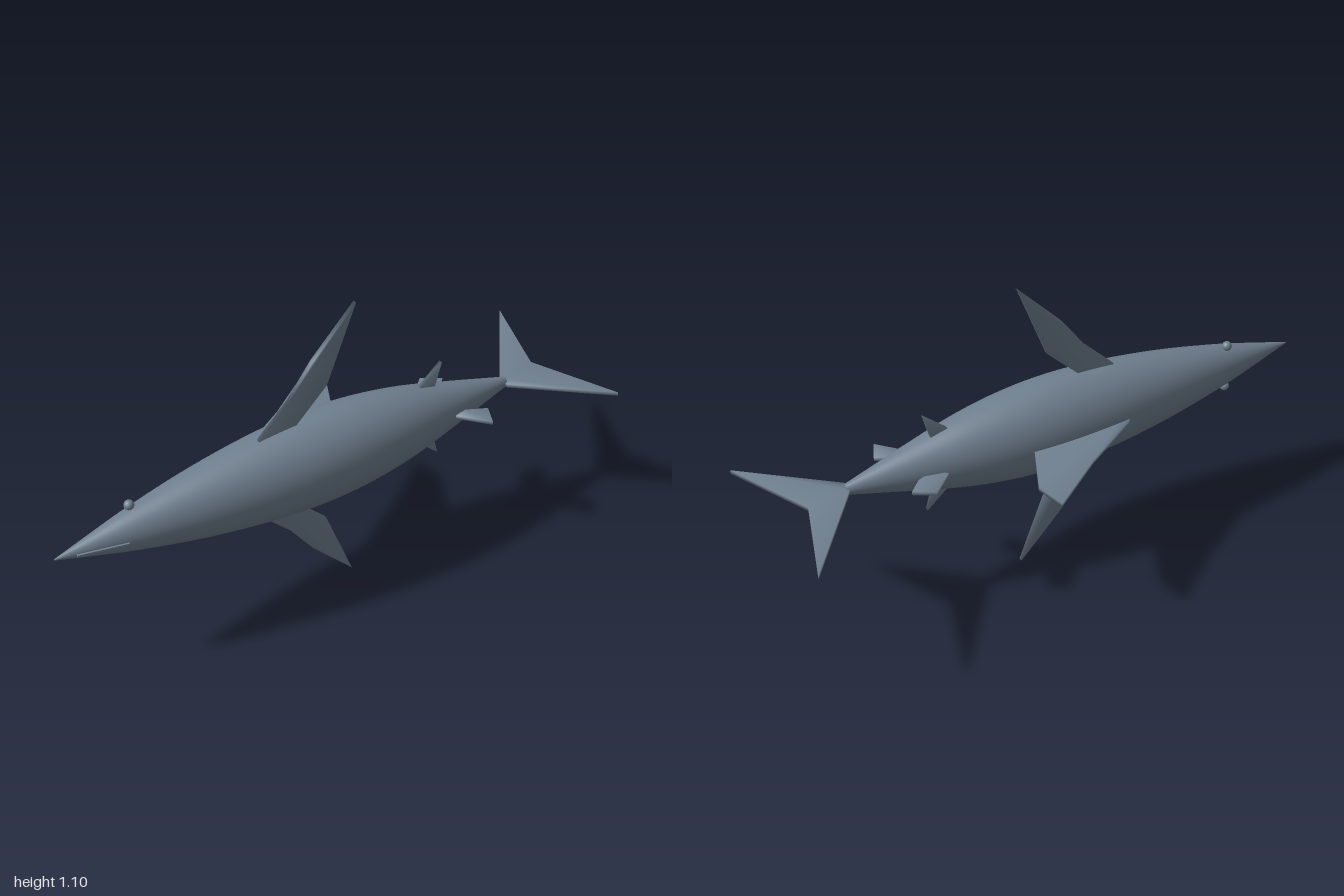
import * as THREE from 'three';
import { mergeVertices } from 'three/addons/utils/BufferGeometryUtils.js';

const AXIS_Y = 0.56, AXIS_Z = 0.07, THICK = 0.014;

// Thin plate from outline points, with softly blended normals
function finGeometry(points) {
  const shape = new THREE.Shape(points.map(([x, y]) => new THREE.Vector2(x, y)));
  const geo = new THREE.ExtrudeGeometry(shape, { depth: THICK, bevelEnabled: false });
  geo.translate(0, 0, -THICK / 2);
  geo.deleteAttribute('normal');
  geo.deleteAttribute('uv');
  const merged = mergeVertices(geo);
  merged.computeVertexNormals();
  return merged;
}

export function createModel() {
  const group = new THREE.Group();
  const skin = new THREE.MeshStandardMaterial({ color: 0x708090 });
  skin.name = 'slate grey skin';

  const add = (name, geo, x = 0, y = 0, z = 0) => {
    const mesh = new THREE.Mesh(geo, skin);
    mesh.name = name;
    mesh.position.set(x, y, z);
    group.add(mesh);
    return mesh;
  };

  // Spindle body lying along x, slightly narrower in z
  const profile = new THREE.SplineCurve([
    [0.002, -1], [0.04, -0.86], [0.076, -0.72], [0.121, -0.5], [0.153, -0.27],
    [0.165, -0.06], [0.156, 0.12], [0.128, 0.3], [0.083, 0.48], [0.048, 0.61], [0.018, 0.72],
  ].map(([r, x]) => new THREE.Vector2(r, x))).getPoints(48);
  const body = new THREE.LatheGeometry(profile, 48);
  body.scale(1, 1, 0.855);
  body.rotateZ(-Math.PI / 2);
  add('body', body, 0, AXIS_Y, AXIS_Z);
  const cap = new THREE.CircleGeometry(0.018, 24);
  cap.scale(0.855, 1, 1);
  cap.rotateY(Math.PI / 2);
  add('bodyEnd', cap, 0.72, AXIS_Y, AXIS_Z);

  // Paired fins and eyes, mirrored above and below the axis
  const pectoral = [[-0.29, 0.12], [-0.27, 0.157], [-0.16, 0.265], [-0.07, 0.385],
    [0.09, 0.55], [-0.017, 0.275], [-0.14, 0.155], [-0.17, 0.12]];
  const pelvic = [[0.345, 0.105], [0.44, 0.188], [0.415, 0.095], [0.39, 0.085]];
  for (const s of [1, -1]) {
    const side = s > 0 ? 'upper' : 'lower';
    const flip = (pts) => pts.map(([x, y]) => [x, y * s]);
    add(side + 'PectoralFin', finGeometry(flip(pectoral)), 0, AXIS_Y, AXIS_Z);
    add(side + 'PelvicFin', finGeometry(flip(pelvic)), 0, AXIS_Y, AXIS_Z - 0.003);
    add(side + 'Eye', new THREE.SphereGeometry(0.017, 20, 14), -0.728, AXIS_Y + s * 0.083, 0.052);
  }

  // Fins in the horizontal plane, given as x, z outlines
  const flatFins = {
    dorsalFin: [[-0.26, -0.03], [-0.26, -0.065], [-0.035, -0.2], [0.165, -0.345],
      [0.187, -0.235], [0.105, -0.065], [0.1, -0.03]],
    secondDorsalFin: [[0.4, -0.025], [0.478, -0.096], [0.545, -0.055], [0.5, -0.01], [0.44, 0.01]],
    analFin: [[0.45, 0.14], [0.54, 0.24], [0.572, 0.17], [0.5, 0.135]],
    tailFin: [[0.71, 0.055], [0.97, -0.285], [0.862, 0.035], [1, 0.34], [0.71, 0.095]],
  };
  for (const [name, pts] of Object.entries(flatFins)) {
    add(name, finGeometry(pts).rotateX(Math.PI / 2), 0, AXIS_Y, 0);
  }

  // Slim mouth ridge on the belly side of the snout
  const mouth = add('mouth', new THREE.BoxGeometry(0.165, 0.006, 0.009), -0.852, AXIS_Y, 0.108);
  mouth.rotation.y = -0.22;

  // Rest on the ground
  const box = new THREE.Box3().setFromObject(group);
  group.position.y = -box.min.y;
  return group;
}
